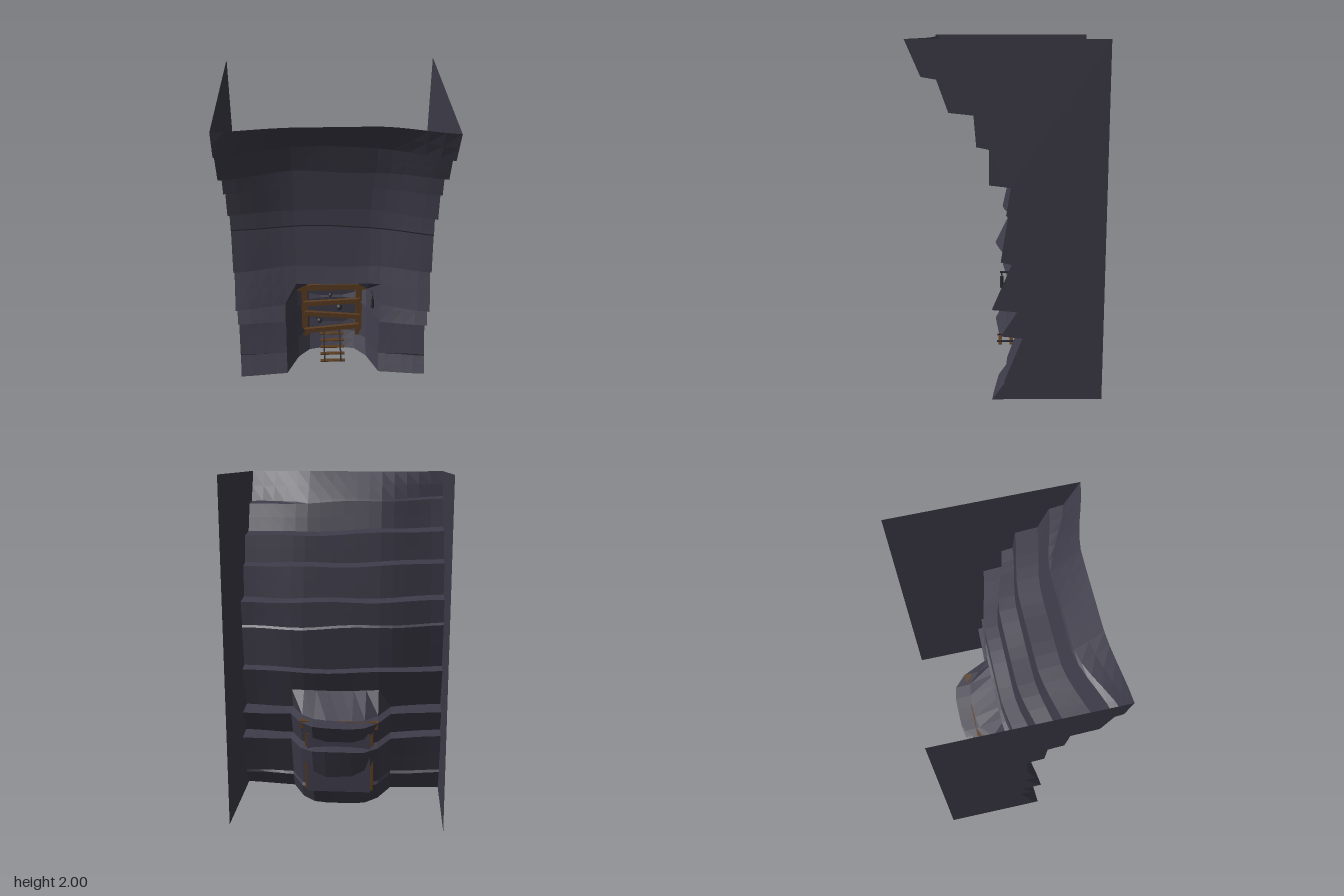
import * as THREE from 'three';

const mat = (name, color, flatShading = false) => {
  const m = new THREE.MeshStandardMaterial({ color, side: THREE.DoubleSide, flatShading });
  m.name = name;
  return m;
};

const HALF = 0.62, COLS = 16;

// rock layers from top to bottom: y of upper edge at left end and right end,
// then [left, middle, right] depth of the layer's top and bottom edge
const LAYERS = [
  [2.0, 2.0, [0.475, 0.43, 0.53], [0.445, 0.29, 0.45]],
  [1.845, 1.81, [0.4, 0.28, 0.37], [0.345, 0.235, 0.31]],
  [1.66, 1.625, [0.19, 0.11, 0.18], [0.17, 0.1, 0.167]],
  [1.475, 1.445, [0.08, 0.0, 0.1], [0.07, -0.01, 0.1]],
  [1.27, 1.24, [-0.03, -0.09, -0.015], [-0.02, -0.08, 0.01]],
  [1.115, 1.075, [-0.03, -0.09, 0.0], [0.03, -0.04, 0.04]],
  [0.83, 0.812, [-0.04, -0.09, -0.02], [0.08, 0.01, 0.09]],
  [0.567, 0.538, [-0.05, -0.09, -0.05], [0.03, -0.01, 0.04]],
  [0.412, 0.382, [-0.05, -0.09, -0.08], [0.02, 0.0, 0.02]],
  [0.147, 0.112, [0.01, -0.02, 0.02], [0.08, 0.05, 0.09]],
  [0, 0],
];

const boundaryY = (i, x) => {
  const [l, r] = LAYERS[i];
  if (i === 0 || i === LAYERS.length - 1) return l;
  const t = (x + HALF) / (2 * HALF);
  return l + (r - l) * t + 0.007 * Math.sin(x * 9 + i * 1.7) * Math.sin(Math.PI * t);
};

const depth = ([l, m, r], x) => {
  const t = THREE.MathUtils.smoothstep(Math.abs(x), 0.2, 0.68) / THREE.MathUtils.smoothstep(HALF, 0.2, 0.68);
  return m + ((x < 0 ? l : r) - m) * t;
};

// how far a column is pushed back into the mine alcove
const alcove = (x) => {
  const a = Math.abs(x);
  if (a > 0.3) return 0;
  return a > 0.2 ? 0.16 : a > 0.1 ? 0.235 : 0.25;
};

// one vertical run of [y, z] points down the cliff at x
function cliffColumn(x) {
  const pts = [];
  for (let i = 0; i < LAYERS.length - 1; i++) {
    const yTop = boundaryY(i, x) - (i ? 0.014 : 0), yBottom = boundaryY(i + 1, x);
    const z0 = depth(LAYERS[i][2], x), z1 = depth(LAYERS[i][3], x);
    for (const f of [0, 0.5, 1]) {
      const inside = i > 6 || (i === 6 && f === 1);
      pts.push([yTop + (yBottom - yTop) * f, z0 + (z1 - z0) * f - (inside ? alcove(x) : 0)]);
    }
  }
  return pts;
}

function cliffGeometry() {
  const pos = [], idx = [];
  let rows = 0;
  for (let c = 0; c <= COLS; c++) {
    const x = -HALF + (2 * HALF * c) / COLS;
    const col = cliffColumn(x);
    rows = col.length;
    for (const [y, z] of col) pos.push(x, y, z);
  }
  for (let c = 0; c < COLS; c++) {
    for (let r = 0; r < rows - 1; r++) {
      const a = c * rows + r, b = a + rows;
      idx.push(a, a + 1, b, b, a + 1, b + 1);
    }
  }
  const g = new THREE.BufferGeometry();
  g.setAttribute('position', new THREE.Float32BufferAttribute(pos, 3));
  g.setIndex(idx);
  g.computeVertexNormals();
  return g;
}

// flat side wall following the cliff edge
function sideWallGeometry(x) {
  const pts = cliffColumn(x).map(([y, z]) => new THREE.Vector2(z, y));
  pts.push(new THREE.Vector2(-0.53, 0), new THREE.Vector2(-0.53, 2));
  return new THREE.ShapeGeometry(new THREE.Shape(pts)).rotateY(-Math.PI / 2).translate(x, 0, 0);
}

export function createModel() {
  const group = new THREE.Group();
  const rock = mat('rock', 0x3d3b48, true);
  const wood = mat('wood', 0x5a3c20);
  const iron = mat('iron', 0x2b2b31);

  const add = (name, geometry, material, x = 0, y = 0, z = 0, parent = group) => {
    const m = new THREE.Mesh(geometry, material);
    m.name = name;
    m.position.set(x, y, z);
    parent.add(m);
    return m;
  };
  const box = (name, w, h, d, material, x, y, z, parent) =>
    add(name, new THREE.BoxGeometry(w, h, d), material, x, y, z, parent);

  add('cliffFace', cliffGeometry(), rock);
  for (const s of [-1, 1]) add(s < 0 ? 'rightWall' : 'leftWall', sideWallGeometry(s * HALF), rock);

  // boarded mine entrance
  const entrance = new THREE.Group();
  entrance.name = 'mineEntrance';
  group.add(entrance);
  box('entrancePanel', 0.38, 0.37, 0.008, rock, 0, 0.295, -0.272, entrance);
  box('lintel', 0.466, 0.045, 0.045, wood, 0, 0.525, -0.228, entrance);
  for (const s of [-1, 1]) box('post', 0.042, 0.41, 0.042, wood, s * 0.185, 0.315, -0.226, entrance);
  for (const [y, tilt] of [[0.408, 0.05], [0.298, -0.1], [0.18, 0.1]]) {
    box('plank', 0.38, 0.036, 0.018, wood, 0, y, -0.198, entrance).rotation.z = tilt;
  }

  // dark stones lodged between the planks
  for (const [x, y, r] of [[-0.01, 0.468, 0.014], [0.05, 0.363, 0.022], [-0.085, 0.248, 0.019]]) {
    add('stone', new THREE.IcosahedronGeometry(r, 1), iron, x, y, -0.2, entrance);
  }

  // short track leading into the mine
  const track = new THREE.Group();
  track.name = 'track';
  group.add(track);
  for (const s of [-1, 1]) box('rail', 0.01, 0.01, 0.33, iron, s * 0.055, 0.108, -0.1, track);
  for (let i = 0; i < 5; i++) box('tie', 0.165, 0.008, 0.022, wood, 0, 0.1, 0.045 - i * 0.07, track);

  // hanging lantern beside the opening
  const lantern = new THREE.Group();
  lantern.name = 'lantern';
  lantern.position.set(0.255, 0.59, 0.035);
  group.add(lantern);
  add('lanternBody', new THREE.CylinderGeometry(0.009, 0.011, 0.07, 8), iron, 0, -0.015, 0, lantern);
  box('lanternHook', 0.006, 0.04, 0.006, iron, 0, 0.03, 0, lantern);
  box('lanternArm', 0.008, 0.008, 0.06, iron, 0, 0.046, -0.02, lantern);

  return group;
}
